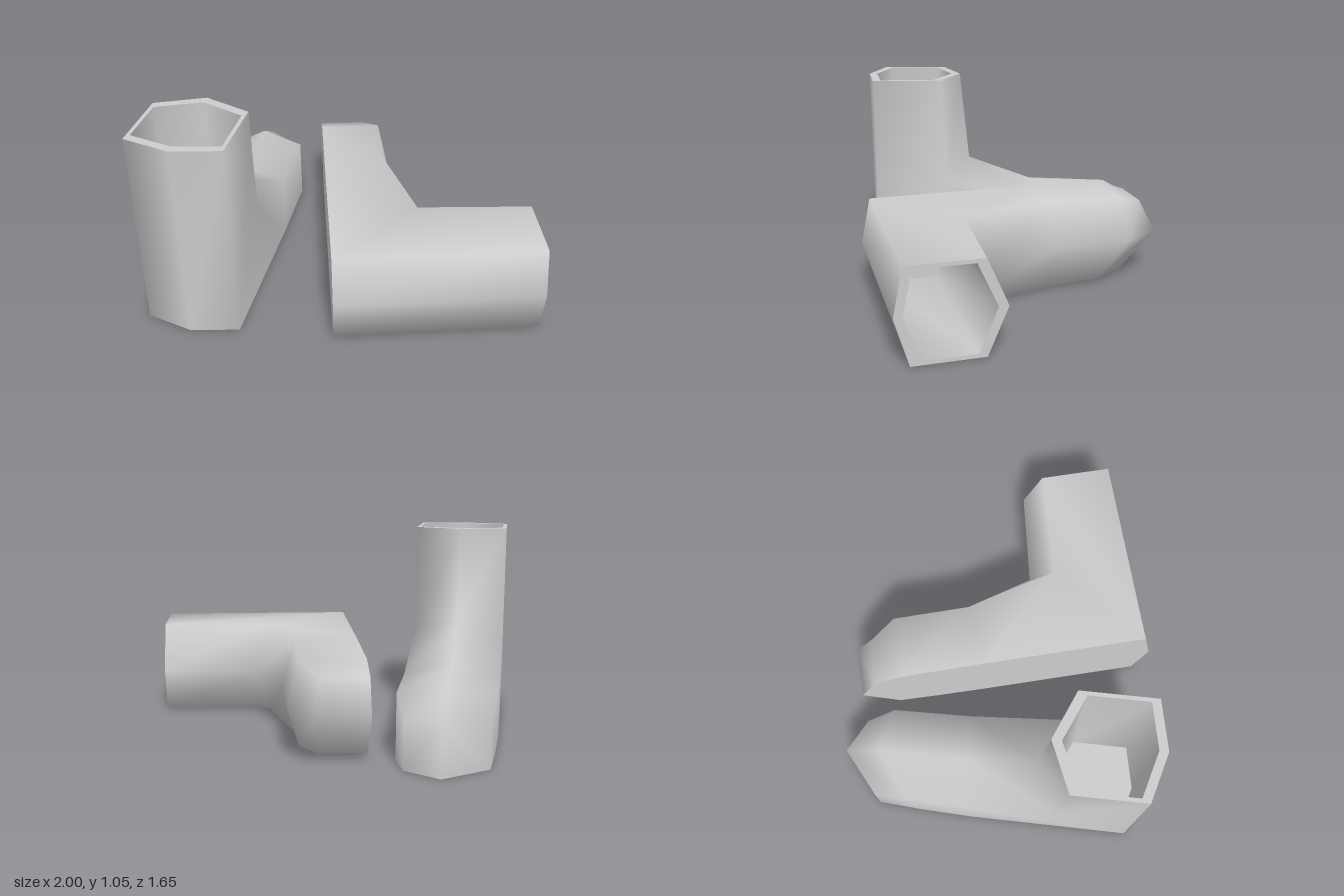
import * as THREE from 'three';

const grey = new THREE.MeshStandardMaterial({ color: 0xcccccc });
grey.name = 'boot grey';

// Hexagonal cross-sections from the shaft opening to the toe.
// Points are [sideways, up, forward from heel], in the order
// front ridge, right, rear right, rear ridge, rear left, left.
const OUTER = [
  [[0, 1.05, 0.54], [0.245, 1.05, 0.435], [0.245, 1.05, 0.05], [0, 1.05, 0], [-0.245, 1.05, 0.07], [-0.245, 1.05, 0.435]],
  [[0, 0.535, 0.59], [0.245, 0.46, 0.47], [0.245, 0, 0.05], [0, 0, 0], [-0.245, 0, 0.07], [-0.245, 0.46, 0.47]],
  [[0, 0.396, 0.97], [0.244, 0.333, 0.967], [0.244, 0, 0.93], [0, 0, 0.95], [-0.242, 0, 0.93], [-0.242, 0.333, 0.967]],
  [[0, 0.382, 1.42], [0.235, 0.333, 1.38], [0.235, 0, 1.38], [0, 0, 1.4], [-0.23, 0, 1.22], [-0.23, 0.32, 1.26]],
  [[0, 0.269, 1.615], [0.18, 0.24, 1.53], [0.18, 0, 1.53], [0, 0, 1.615], [-0.215, 0, 1.43], [-0.215, 0.23, 1.43]],
];

// Straight hexagonal hollow of the shaft
const hollow = (y) => [[0, 0.49], [0.225, 0.39], [0.225, 0.09], [0, 0.045], [-0.225, 0.11], [-0.225, 0.395]]
  .map(([x, f]) => [x, y, f]);

// Quads joining the chosen sides of two neighbouring sections
function band(a, b, sides = [0, 1, 2, 3, 4, 5]) {
  return sides.map((j) => {
    const k = (j + 1) % 6;
    return [a[j], a[k], b[k], b[j]];
  });
}

// Mesh with smooth normals inside the part; mirror is 1 or -1
function part(name, quads, mirror) {
  const ids = new Map(), pos = [], index = [];
  const id = (p) => {
    if (!ids.has(p)) {
      ids.set(p, ids.size);
      pos.push(p[0] * mirror, p[1], -p[2]);
    }
    return ids.get(p);
  };
  for (const q of quads) {
    const [a, b, c, d] = q.map(id);
    if (mirror > 0) index.push(a, b, c, a, c, d);
    else index.push(a, c, b, a, d, c);
  }
  const geo = new THREE.BufferGeometry();
  geo.setAttribute('position', new THREE.Float32BufferAttribute(pos, 3));
  geo.setIndex(index);
  geo.computeVertexNormals();
  const mesh = new THREE.Mesh(geo, grey);
  mesh.name = name;
  return mesh;
}

function makeBoot(name, mirror) {
  const boot = new THREE.Group();
  boot.name = name;
  const toe = OUTER[4], top = hollow(1.05), low = hollow(0.05);

  // Upper: shaft, foot and blunt toe
  const upper = band(OUTER[0], OUTER[1]);
  const sole = [];
  for (let i = 1; i < 4; i++) {
    upper.push(...band(OUTER[i], OUTER[i + 1], [0, 1, 4, 5]));
    sole.push(...band(OUTER[i], OUTER[i + 1], [2, 3]));
  }
  upper.push([toe[0], toe[1], toe[2], toe[3]], [toe[0], toe[3], toe[4], toe[5]]);

  boot.add(
    part('upper', upper, mirror),
    part('sole', sole, mirror),
    part('rim', band(top, OUTER[0]), mirror),
    part('lining', band(low, top), mirror),
    part('insole', [[low[3], low[2], low[1], low[0]], [low[5], low[4], low[3], low[0]]], mirror),
  );
  return boot;
}

export function createModel() {
  const model = new THREE.Group();
  model.name = 'pairOfBoots';

  // Upright boot, toe to the back
  const standing = makeBoot('standingBoot', 1);
  standing.position.set(-0.755, 0, 0.822);

  // Mirrored boot lying on its side, turned a little
  const lying = makeBoot('lyingBoot', -1);
  const s = 0.26, c = Math.sqrt(1 - s * s);
  const basis = new THREE.Matrix4().makeBasis(
    new THREE.Vector3(0, -1, 0), new THREE.Vector3(c, 0, -s), new THREE.Vector3(s, 0, c));
  lying.quaternion.setFromRotationMatrix(basis);
  lying.position.set(-0.014, 0.248, 0.803);

  model.add(standing, lying);
  return model;
}
